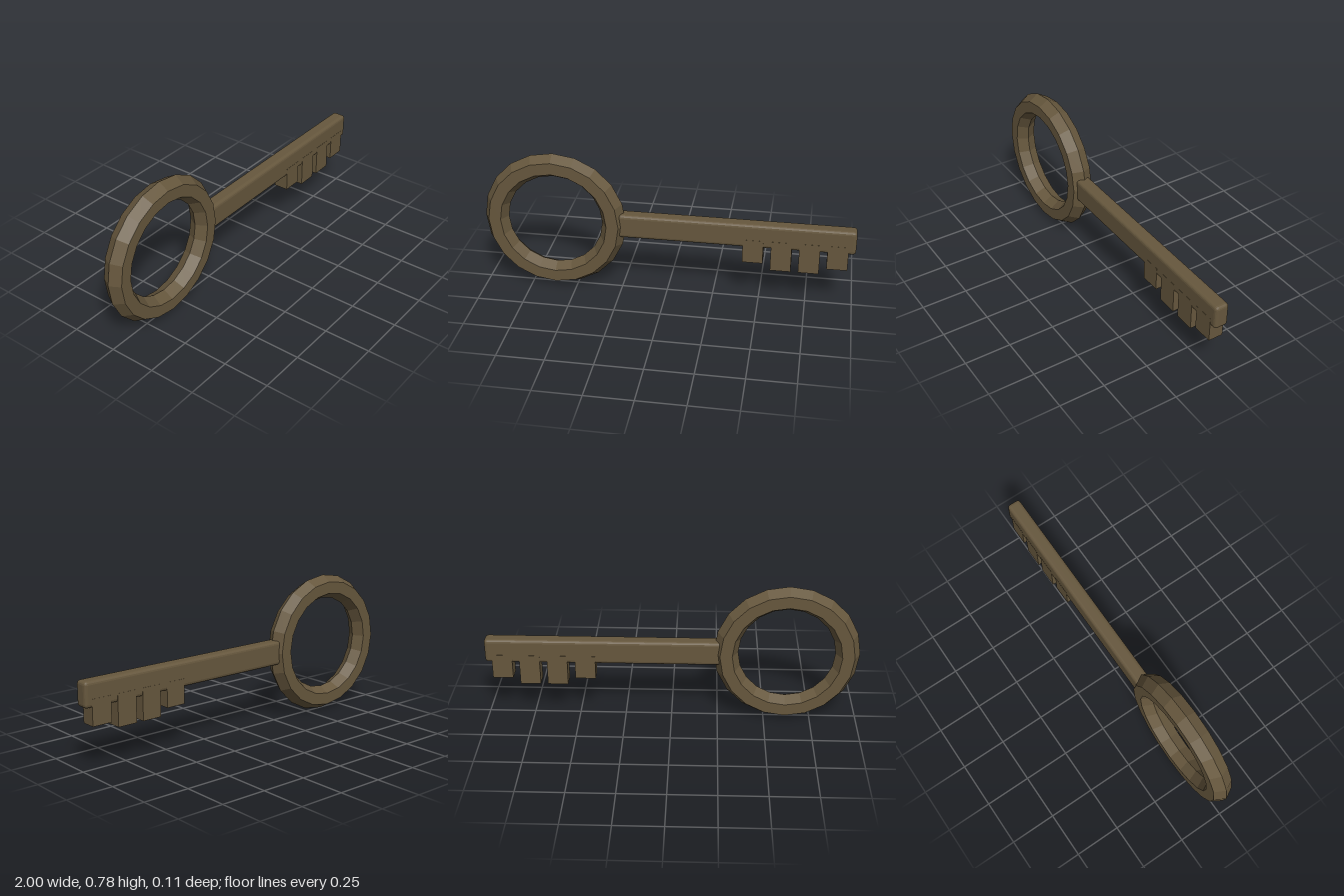
import * as THREE from 'three';
import { RoundedBoxGeometry } from 'three/addons/geometries/RoundedBoxGeometry.js';

// Gives every facet its own normal for a low-poly look
function faceted(geometry) {
  const flat = geometry.index ? geometry.toNonIndexed() : geometry;
  flat.computeVertexNormals();
  return flat;
}

export function createModel() {
  const key = new THREE.Group();
  key.name = 'key';
  const bronze = new THREE.MeshStandardMaterial({ color: 0x66573d });
  bronze.name = 'dark bronze';

  function add(name, geometry, x, y, z = 0) {
    const mesh = new THREE.Mesh(geometry, bronze);
    mesh.name = name;
    mesh.position.set(x, y, z);
    key.add(mesh);
  }

  // Handle ring with a hexagonal cross-section
  add('handleRing', faceted(new THREE.TorusGeometry(0.323, 0.065, 6, 20)), -0.612, 0.39);

  // Shaft with softened edges
  const start = -0.265, end = 0.998;
  add('shaft', faceted(new RoundedBoxGeometry(end - start, 0.133, 0.078, 2, 0.018)),
    (start + end) / 2, 0.392);

  // Teeth below the shaft: [centre x, bottom y]
  const top = 0.37;
  [[0.461, 0.237], [0.611, 0.199], [0.759, 0.199], [0.906, 0.233]].forEach(([x, bottom], i) => {
    add(`tooth${i + 1}`, new THREE.BoxGeometry(0.109, top - bottom, 0.08), x, (top + bottom) / 2);
  });

  return key;
}
